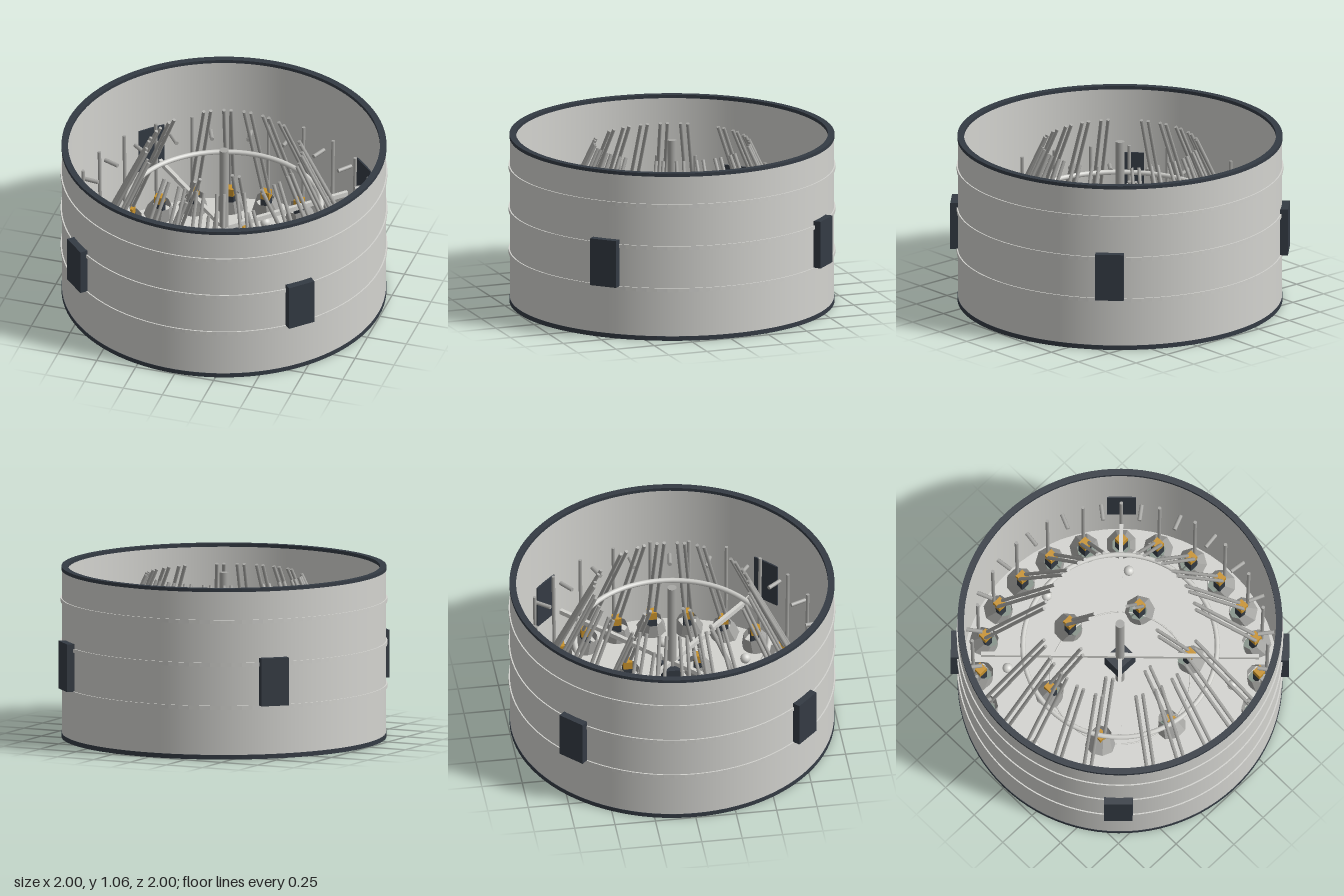
import * as THREE from 'three';

const mat = (name, color, side = THREE.FrontSide) => {
  const m = new THREE.MeshStandardMaterial({ color, side });
  m.name = name;
  return m;
};

export function createModel() {
  const shell = mat('pale metal', 0xd3d3cf, THREE.DoubleSide);
  const steel = mat('pipe steel', 0xa8a8a5, THREE.DoubleSide);
  const dark = mat('dark slate', 0x343b44);
  const gold = mat('gold', 0xc8922c);
  const model = new THREE.Group();
  model.name = 'engineSection';

  const add = (parent, name, geo, material, x = 0, y = 0, z = 0) => {
    const m = new THREE.Mesh(geo, material);
    m.name = name;
    m.position.set(x, y, z);
    parent.add(m);
    return m;
  };
  // Closed ring of rectangular section
  const ring = (name, r0, r1, y0, y1, material) => {
    const p = [[r0, y0], [r1, y0], [r1, y1], [r0, y1], [r0, y0]];
    const g = new THREE.LatheGeometry(p.map(a => new THREE.Vector2(...a)), 96).toNonIndexed();
    g.computeVertexNormals();
    add(model, name, g, material);
  };
  // Straight round rod between two points
  const rod = (parent, name, a, b, r) => {
    const A = new THREE.Vector3(...a), B = new THREE.Vector3(...b);
    const d = B.clone().sub(A);
    const m = add(parent, name, new THREE.CylinderGeometry(r, r, d.length(), 8), steel);
    m.position.copy(A).add(B).multiplyScalar(0.5);
    m.quaternion.setFromUnitVectors(new THREE.Vector3(0, 1, 0), d.normalize());
  };
  const torus = (name, r, tube, y, material) => {
    add(model, name, new THREE.TorusGeometry(r, tube, 8, 80), material, 0, y).rotation.x = Math.PI / 2;
  };
  // Sub-group turned about the vertical axis, so its +x points outward
  const spoke = (name, degrees) => {
    const g = new THREE.Group();
    g.name = name;
    g.rotation.y = THREE.MathUtils.degToRad(degrees);
    model.add(g);
    return g;
  };

  // Outer shell, end flanges and ribs
  add(model, 'innerWall', new THREE.CylinderGeometry(0.972, 0.972, 1.02, 96, 1, true), shell, 0, 0.53);
  add(model, 'outerWall', new THREE.CylinderGeometry(0.992, 0.992, 1.02, 96, 1, true), shell, 0, 0.53);
  ring('topFlange', 0.955, 0.995, 1.035, 1.056, dark);
  ring('bottomFlange', 0.955, 0.995, 0, 0.028, dark);
  for (const y of [0.32, 0.585, 0.85]) ring('rib', 0.98, 1.0, y - 0.012, y + 0.012, shell);

  // Engine positions: 24 near the rim, 6 around the middle
  const engines = [];
  for (let i = 0; i < 24; i++) engines.push({ r: 0.855, a: i * 15, outer: true });
  for (let i = 0; i < 6; i++) engines.push({ r: 0.44, a: 30 + i * 60, outer: false });

  // Base plate with a hole for each engine
  const plate = new THREE.Shape().absarc(0, 0, 0.972, 0, Math.PI * 2);
  for (const { r, a } of engines) {
    const t = THREE.MathUtils.degToRad(a);
    plate.holes.push(new THREE.Path().absarc(r * Math.cos(t), r * Math.sin(t), 0.078, 0, Math.PI * 2, true));
  }
  const plateGeo = new THREE.ExtrudeGeometry(plate, { depth: 0.02, bevelEnabled: false, curveSegments: 32 });
  plateGeo.rotateX(-Math.PI / 2);
  add(model, 'basePlate', plateGeo, shell, 0, 0.025);

  // Engines with inward-canted bell, actuator block and a pair of slanted feed lines
  for (const { r, a, outer } of engines) {
    const g = spoke('engine', a);
    const bell = new THREE.CylinderGeometry(0.058, 0.094, 0.11, 8, 1, true, Math.PI / 8).toNonIndexed();
    bell.computeVertexNormals();
    add(g, 'bell', bell, steel, r - 0.008, 0.105).rotation.z = 0.38;
    const lip = add(g, 'bellLip', new THREE.TorusGeometry(0.08, 0.007, 6, 24), shell, r, 0.028);
    lip.rotation.x = Math.PI / 2;
    // Blocks stay square to the model's axes
    const square = -g.rotation.y;
    add(g, 'injector', new THREE.BoxGeometry(0.056, 0.1, 0.056), dark, r, 0.095).rotation.y = square;
    add(g, 'actuatorBlock', new THREE.BoxGeometry(0.056, 0.05, 0.056), gold, r, 0.172).rotation.y = square;
    const diagonal = outer && a % 90 === 45;
    if (!diagonal) {
      const top = outer ? [0.475, 1.0] : [0.24, 0.68];
      for (const z of [-0.022, 0.022]) {
        rod(g, 'feedLine', [r, 0.18, z], [top[0], top[1], z], 0.011);
      }
    }
    if (outer) rod(g, 'post', [0.895, 0.045, 0], [0.905, 0.69, 0], 0.011);
  }

  // Short radial stubs between the rim engines
  for (let i = 0; i < 24; i++) {
    rod(spoke('stubMount', 7.5 + i * 15), 'stub', [0.85, 0.55, 0], [0.95, 0.55, 0], 0.013);
  }

  // Crossed beams, hub and central mast
  for (const a of [45, 135]) {
    add(spoke('crossBeam', a), 'beam', new THREE.BoxGeometry(1.7, 0.03, 0.024), shell, 0, 0.45);
  }
  add(model, 'hub', new THREE.BoxGeometry(0.145, 0.12, 0.12), dark, 0, 0.37);
  add(model, 'mast', new THREE.CylinderGeometry(0.028, 0.028, 0.97, 16), steel, 0, 0.53);

  // Manifold ring and plate seam
  torus('manifoldRing', 0.595, 0.016, 0.62, shell);
  torus('innerSeam', 0.43, 0.005, 0.046, shell);

  // Small pressure spheres on the plate
  for (let i = 0; i < 8; i++) {
    add(spoke('sphereMount', i * 45 - 4), 'pressureSphere', new THREE.SphereGeometry(0.032, 16, 12), shell, 0.69, 0.075);
  }

  // Four dark pads through the outer wall
  for (let i = 0; i < 4; i++) {
    add(spoke('padMount', 45 + i * 90), 'sidePad', new THREE.BoxGeometry(0.075, 0.295, 0.175), dark, 0.998, 0.478);
  }
  return model;
}
